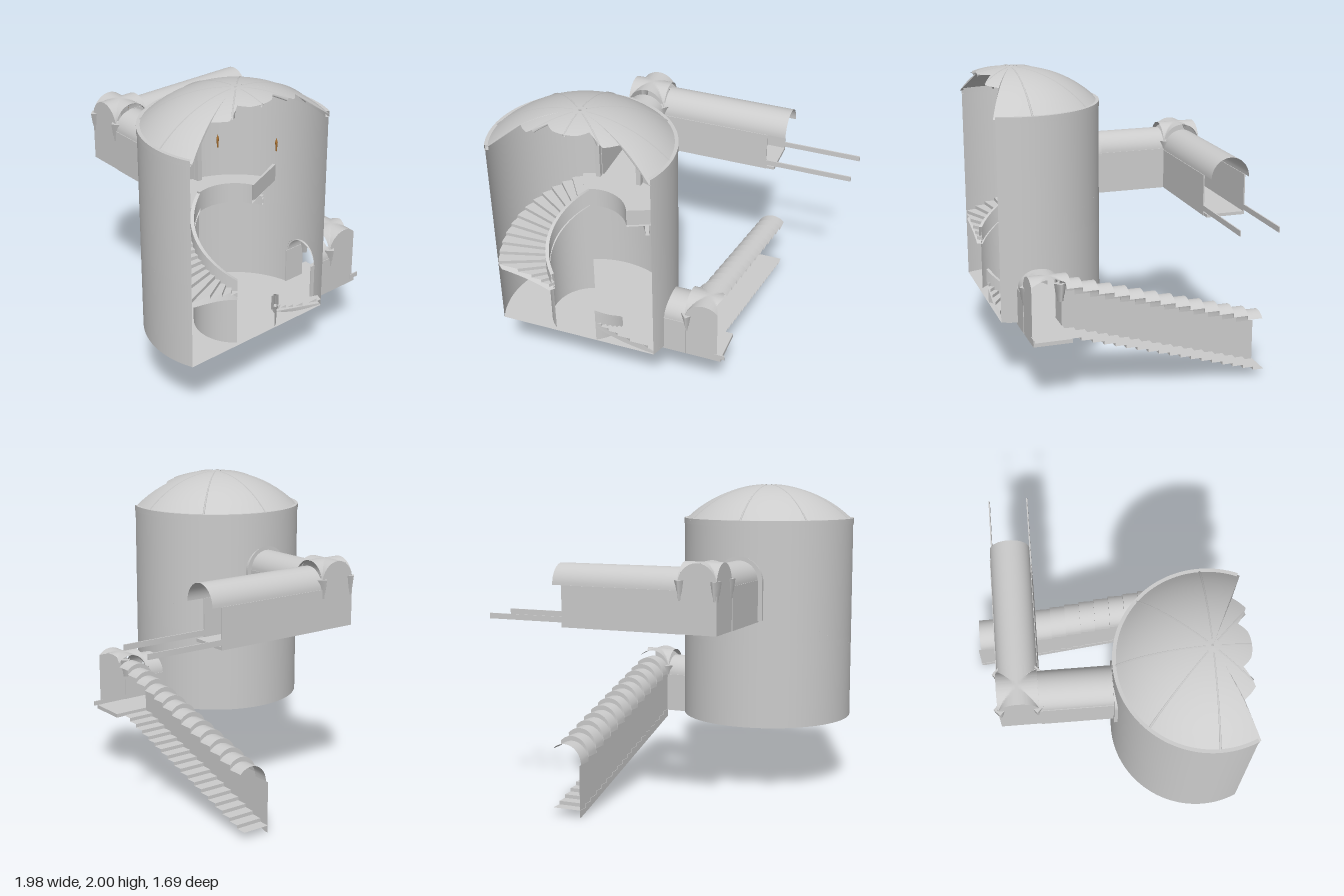
import * as THREE from 'three';
import { toCreasedNormals } from 'three/addons/utils/BufferGeometryUtils.js';

const CX = -0.425, CZ = 0.595, R = 0.565, CUT = 0.225, FLOOR = 0.45;
const RAD = Math.PI / 180;
const mat = new THREE.MeshStandardMaterial({ color: 0xcccccc, side: THREE.DoubleSide });
const flameMat = new THREE.MeshStandardMaterial({ color: 0xa87030 });

const V = (x, y, z) => new THREE.Vector3(x, y, z);
// Point on the tower axis system: degrees from +x towards +z
const polar = (deg, r, y) => V(CX + r * Math.cos(deg * RAD), y, CZ + r * Math.sin(deg * RAD));
const range = (a, b, n) => Array.from({ length: n + 1 }, (_, i) => a + (b - a) * i / n);

export function createModel() {
  const root = new THREE.Group();
  const add = (name, geo, m = mat) => {
    const mesh = new THREE.Mesh(geo, m);
    mesh.name = name;
    root.add(mesh);
    return mesh;
  };
  // Surface through rows of points
  const sheet = (name, rows) => {
    const n = rows[0].length, idx = [];
    for (let i = 0; i < rows.length - 1; i++) for (let j = 0; j < n - 1; j++) {
      const a = i * n + j, b = a + n;
      idx.push(a, b, a + 1, b, b + 1, a + 1);
    }
    const g = new THREE.BufferGeometry().setFromPoints(rows.flat());
    g.setIndex(idx);
    return add(name, toCreasedNormals(g, 0.5));
  };
  const box = (name, x0, x1, y0, y1, z0, z1) =>
    add(name, new THREE.BoxGeometry(x1 - x0, y1 - y0, z1 - z0))
      .position.set((x0 + x1) / 2, (y0 + y1) / 2, (z0 + z1) / 2);

  // Tower wall with two arched doorways, open at the front
  const door = (deg, mid, sill, spring) => {
    const u = (deg - mid) / 12.8;
    return Math.abs(u) < 1 ? [sill, spring + 0.125 * Math.sqrt(1 - u * u)] : null;
  };
  const gap = d => door(d, 270, 1.16, 1.4) || door(d, 360, FLOOR, 0.67) || [1, 1];
  const angles = [...range(156.5, 383.5, 150),
    ...[270, 360].flatMap(m => [-12.81, -12.79, 12.79, 12.81].map(o => m + o))].sort((a, b) => a - b);
  sheet('towerWallLower', angles.map(d => [polar(d, R, FLOOR), polar(d, R, gap(d)[0])]));
  sheet('towerWallUpper', angles.map(d => [polar(d, R, gap(d)[1]), polar(d, R, 1.78)]));
  sheet('cornice', range(156.5, 383.5, 80).map(d =>
    [[R, 1.745], [R + 0.004, 1.745], [R + 0.004, 1.782], [R - 0.02, 1.782], [R - 0.02, 1.745], [R, 1.745]]
      .map(([r, y]) => polar(d, r, y))));
  const disc = new THREE.Shape();
  disc.absarc(CX, CZ, R, 156.5 * RAD, 383.5 * RAD, false);
  add('towerFloor', new THREE.ShapeGeometry(disc, 64).rotateX(Math.PI / 2)).position.y = FLOOR;

  // Dome with a broken front edge
  const domeY = r => 1.203 + Math.sqrt(0.797 ** 2 - r * r);
  const broken = [[0, 0.225], [20, 0.225], [39, 0.206], [47, 0.326], [64, 0.345], [65, R], [181, R]];
  const domeR = deg => {
    const d = Math.abs(((deg - 90 + 540) % 360) - 180);
    const k = broken.findIndex((p, i) => i && d <= p[0]);
    const [a, ra] = broken[k - 1], [b, rb] = broken[k];
    return ra + (rb - ra) * (d - a) / (b - a);
  };
  sheet('dome', range(0, 360, 360).map(d =>
    range(0.02, 1, 12).map(t => polar(d, t * domeR(d), domeY(t * domeR(d))))));
  for (let d = 0; d < 360; d += 45) {
    const pts = range(0.04, domeR(d) - 0.005, 10).map(r => polar(d, r, domeY(r) - 0.01));
    add('domeRib', new THREE.TubeGeometry(new THREE.CatmullRomCurve3(pts), 16, 0.014, 4));
  }
  const hub = add('domeHub', new THREE.TorusGeometry(0.035, 0.012, 6, 24));
  hub.rotation.x = Math.PI / 2;
  hub.position.set(CX, 1.988, CZ);

  // Spiral stair: lower flight, cut away at the front, then upper flight
  const IN = 0.245;
  const clip = (d, r) => {
    const s = Math.sin(d * RAD);
    return s > 0 ? Math.max(IN, Math.min(r, CUT / s)) : r;
  };
  const rise = d => 0.8 + (d - 128) * 0.003;
  const band = (name, a, b, lo, hi, r0 = IN, r1 = IN + 0.022) =>
    sheet(name, range(a, b, 48).map(d =>
      [[r0, lo(d)], [r0, hi(d)], [r1, hi(d)], [r1, lo(d)], [r0, lo(d)]].map(([r, y]) => polar(d, r, y))));
  const flight = (a, b, n) => {
    const step = (b - a) / n;
    for (let i = 0; i < n; i++) {
      const d0 = a + i * step, d1 = d0 + step, y = rise(d1), y0 = rise(d0);
      const path = [[d0, y0], [d0, y], ...range(d0, d1, 4).slice(1).map(d => [d, y])];
      sheet('spiralStep', path.map(([d, h]) => [polar(d, IN, h), polar(d, clip(d, R), h)]));
    }
    sheet('stairSoffit', range(a, b, 40).map(d =>
      [polar(d, IN, Math.max(FLOOR, rise(d) - 0.03)), polar(d, clip(d, R), Math.max(FLOOR, rise(d) - 0.03))]));
    band('stairRail', a, b, d => Math.max(FLOOR, rise(d) - 0.01), d => rise(d) + 0.09);
    sheet('stairInnerWall', range(a, b, 40).map(d => [polar(d, IN + 0.01, FLOOR), polar(d, IN + 0.01, rise(d))]));
  };
  flight(18, 60, 6);
  flight(128, 251, 17);

  // Balcony with parapet and dentils underneath
  band('balconyFloor', 251, 335, () => 1.14, () => 1.17, IN, R);
  band('balconyParapet', 251, 335, () => 1.16, () => 1.27);
  sheet('balconyEndParapet', [[335, 1.16], [335, 1.27], [337, 1.27], [337, 1.16]].map(([d, y]) =>
    [polar(d, IN, y), polar(d, R, y)]));
  band('dentilBand', 254, 338, () => 1.12, () => 1.14, 0.36, 0.385);
  for (const d of range(256, 300, 8)) {
    const m = add('dentil', new THREE.BoxGeometry(0.025, 0.06, 0.022));
    m.position.copy(polar(d, 0.372, 1.11));
    m.rotation.y = -d * RAD;
  }
  band('plainBracket', 304, 338, () => 1.08, () => 1.14, 0.36, 0.385);

  // Arched door surround inside the tower
  const arch = (w, y0, spring, h) => {
    const s = new THREE.Shape();
    s.moveTo(-w, y0);
    s.lineTo(w, y0);
    s.lineTo(w, spring);
    s.absellipse(0, spring, w, h, 0, Math.PI, false);
    s.lineTo(-w, y0);
    return s;
  };
  const frame = arch(0.157, 1.15, 1.4, 0.155);
  frame.holes.push(arch(0.125, 1.151, 1.4, 0.123));
  add('doorSurround', new THREE.ExtrudeGeometry(frame, { depth: 0.06, bevelEnabled: false, curveSegments: 20 }))
    .position.set(CX, 0, 0.03);

  // Corridor and crossing helpers
  const W = 0.125;
  const vault = (name, along, a, b, mid, spring, h) => sheet(name, [a, b].map(p =>
    range(0, Math.PI, 24).map(t => {
      const q = mid + W * Math.cos(t), y = spring + h * Math.sin(t);
      return along === 'x' ? V(p, y, q) : V(q, y, p);
    })));
  const crossing = (cx, cz, spring, h, edge) => {
    const f = u => h * Math.sqrt(Math.max(0, 1 - (u / W) ** 2));
    sheet('crossVault', range(-W, W, 32).map(v => range(0, 1, 32).map(t => {
      const u = -W + t * (edge(v) + W);
      return V(cx + u, spring + Math.max(f(u), f(v)), cz + v);
    })));
    for (const sx of [-1, 1]) for (const sz of [-1, 1]) {
      if (edge(0) < W && sx > 0) continue;
      const x = cx + sx * 0.112, z = cz + sz * 0.112;
      const cap = add('capital', new THREE.CylinderGeometry(0.04, 0.028, 0.08, 4));
      cap.position.set(x, spring - 0.01, z);
      const stub = add('capitalStub', new THREE.CylinderGeometry(0.025, 0.02, 0.04, 4));
      stub.position.set(x, spring - 0.07, z);
    }
  };
  const gable = (x, z, turn, y0, spring, h) => {
    const m = add('gableWall', new THREE.ShapeGeometry(arch(W, y0, spring, h), 20));
    m.position.set(x, 0, z);
    m.rotation.y = turn;
  };

  // Upper corridor: back from the tower, then turning to the side
  const JZ = -0.545, x0 = CX - W, x1 = CX + W, z0 = JZ - W, z1 = JZ + W, T = 0.004;
  vault('backCorridorVault', 'z', 0.06, z1, CX, 1.41, 0.12);
  for (const x of [x0, x1]) box('backCorridorWall', x - T, x + T, 1.14, 1.41, z1, 0.06);
  box('backCorridorFloor', x0, x1, 1.14, 1.16, z0, 0.07);
  crossing(CX, JZ, 1.43, 0.135, () => W);
  gable(CX, z0, Math.PI, 1.14, 1.43, 0.135);
  gable(x0, JZ, -Math.PI / 2, 1.14, 1.43, 0.135);
  vault('sideCorridorVault', 'x', x1, 0.54, JZ, 1.4, 0.13);
  box('sideCorridorFrontWall', x1, 0.42, 1.14, 1.4, z1 - T, z1 + T);
  box('sideCorridorBackWall', x1, 0.475, 1.14, 1.4, z0 - T, z0 + T);
  box('sideCorridorFloor', x1, 0.475, 1.14, 1.16, z0, z1);
  for (const z of [z0, z1]) box('bridgeCurb', x1, 0.99, 1.17, 1.205, z - T, z + T);

  // Lower corridor and crossing beside the tower, open on the outer side
  const LX = 0.385, LZ = 0.59, lz0 = LZ - W, lz1 = LZ + W;
  vault('lowerCorridorVault', 'x', 0.125, LX - W, LZ, 0.68, 0.12);
  box('lowerCorridorBackWall', 0.12, 0.265, 0.43, 0.68, lz0 - T, lz0 + T);
  box('lowerFrontWall', 0.1, 0.27, 0.43, 0.68, lz1 - T, lz1 + T);
  box('lowerFloor', 0.1, 0.5, 0.425, FLOOR, lz0, lz1);
  box('lowerCurb', 0.46, 0.525, FLOOR, 0.48, lz1 - T, lz1 + T);
  const zig = v => 0.065 + 0.025 * Math.abs(((v / W * 2 + 4) % 2) - 1);
  crossing(LX, LZ, 0.71, 0.13, zig);
  const front = new THREE.Shape([[-W, 0.43], [0.09, 0.43], [0.09, 0.8],
    ...range(0.09, -W, 16).map(u => [u, 0.71 + 0.13 * Math.sqrt(Math.max(0, 1 - (u / W) ** 2))])]
    .map(p => new THREE.Vector2(...p)));
  add('lowerGableWall', new THREE.ShapeGeometry(front)).position.set(LX, 0, lz1);

  // Descending stair passage: stepped vault, side wall and steps
  const zigzag = (zs, ze, ys, drop, n) => range(0, n - 1, n - 1).flatMap(i =>
    [0, 1].map(k => [zs + (ze - zs) * (i + k) / n, ys - drop * i]));
  const roof = zigzag(0.485, -0.835, 0.8, 0.0295, 13);
  sheet('steppedVault', roof.map(([z, y]) => range(Math.PI, 0.25 * Math.PI, 18).map(t =>
    V(0.378 + 0.113 * Math.cos(t), y - 0.12 + 0.12 * Math.sin(t), z))));
  const base = z => Math.max(0, 0.38 + (z - 0.46) * 0.2946);
  sheet('passageWall', [...roof.map(([z, y]) => [Math.min(z, 0.465), y]), [-0.855, 0.445]].map(([z, y]) =>
    [V(0.265, base(z), z), V(0.265, y - 0.12, z)]));
  const steps = zigzag(0.465, -0.86, 0.43, 0.0225, 18);
  sheet('passageSteps', steps.map(([z, y]) => [V(0.262, y, z), V(0.445, y, z)]));

  // Small wall torches
  const torch = (x, y, z) => {
    add('torchHandle', new THREE.CylinderGeometry(0.008, 0.004, 0.06, 6), flameMat).position.set(x, y, z);
    add('torchFlame', new THREE.ConeGeometry(0.009, 0.03, 6), flameMat).position.set(x, y + 0.045, z);
  };
  for (const [d, y] of [[190, 0.7], [299, 1.4], [338, 1.4]]) {
    const p = polar(d, R - 0.015, y);
    torch(p.x, p.y, p.z);
  }
  torch(-0.3, 1.4, z0 + 0.025);
  return root;
}
